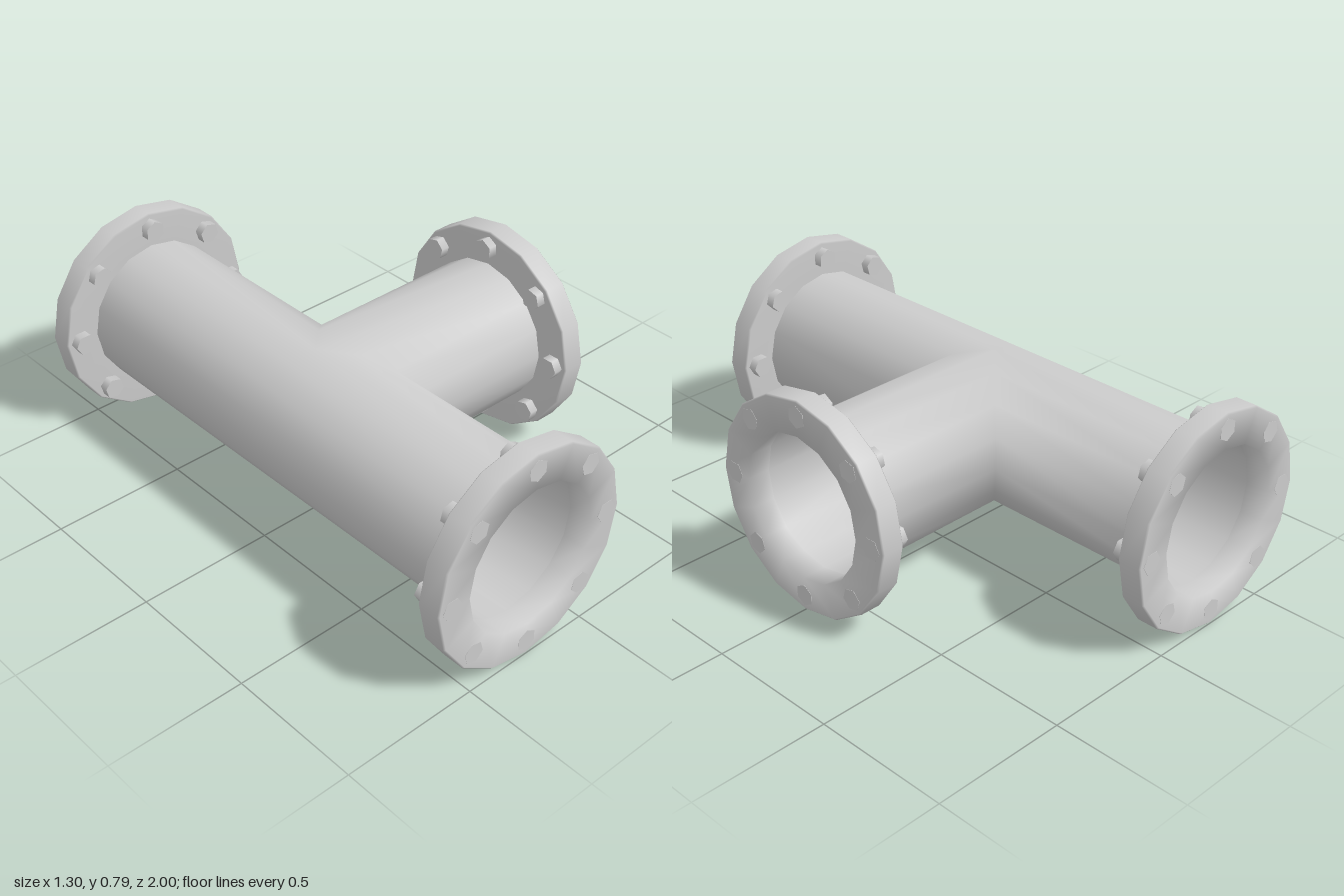
import * as THREE from 'three';
import { mergeVertices } from 'three/addons/utils/BufferGeometryUtils.js';

const SIDES = 16;
const BORE = 0.267, RIM = 0.395, THICK = 0.088;
const BOLT_RING = 0.337, BOLT_R = 0.04, BOLT_HEAD = 0.034;
const MAIN = 1, BRANCH = 0.9;

const material = new THREE.MeshStandardMaterial({ color: 0xcccccc });
const thin = new THREE.MeshStandardMaterial({ color: 0xcccccc, side: THREE.DoubleSide });

const X = new THREE.Vector3(1, 0, 0);
const Y = new THREE.Vector3(0, 1, 0);
const Z = new THREE.Vector3(0, 0, 1);

// Tee of three equal tubes, mitred where |z| equals x
function teeGeometry() {
  const positions = [];
  const arm = (u, v, length, start) => {
    const axis = u.clone().cross(v);
    const edge = (k) => {
      const a = ((k % SIDES) / SIDES) * Math.PI * 2;
      const p = u.clone().multiplyScalar(BORE * Math.cos(a)).addScaledVector(v, BORE * Math.sin(a));
      return [p.clone().addScaledVector(axis, start(p)), p.clone().addScaledVector(axis, length)];
    };
    for (let k = 0; k < SIDES; k++) {
      const [a, d] = edge(k);
      const [b, c] = edge(k + 1);
      for (const p of [a, b, c, a, c, d]) positions.push(p.x, p.y, p.z);
    }
  };
  const mainStart = (p) => Math.max(0, p.x);
  arm(X, Y, MAIN - THICK, mainStart);
  arm(Y, X, MAIN - THICK, mainStart);
  arm(Y, Z, BRANCH - THICK, (p) => Math.abs(p.z));

  let geometry = new THREE.BufferGeometry();
  geometry.setAttribute('position', new THREE.Float32BufferAttribute(positions, 3));
  geometry = mergeVertices(geometry, 1e-4);
  geometry.computeVertexNormals();
  return geometry;
}

// Ring flange with a lightly eased rim, its back face at y = 0
const ease = 0.006;
const flangeGeometry = new THREE.LatheGeometry([
  [BORE, 0], [RIM - ease, 0], [RIM, ease],
  [RIM, THICK - ease], [RIM - ease, THICK], [BORE, THICK], [BORE, 0],
].map(([x, y]) => new THREE.Vector2(x, y)), SIDES);

// Hexagonal bolt running through the flange, flush with its outer face
const boltLength = BOLT_HEAD + THICK + 0.001;
const boltGeometry = new THREE.CylinderGeometry(BOLT_R, BOLT_R, boltLength, 6);

function makeFlange(name, length) {
  const group = new THREE.Group();
  group.name = name;
  const ring = new THREE.Mesh(flangeGeometry, material);
  ring.name = 'flangeRing';
  ring.position.y = length - THICK;
  group.add(ring);
  for (let i = 0; i < 8; i++) {
    const a = (i / 8) * Math.PI * 2;
    const bolt = new THREE.Mesh(boltGeometry, material);
    bolt.name = 'bolt';
    bolt.position.set(
      BOLT_RING * Math.sin(a),
      length + 0.001 - boltLength / 2,
      BOLT_RING * Math.cos(a)
    );
    bolt.rotation.y = a;
    group.add(bolt);
  }
  return group;
}

export function createModel() {
  const model = new THREE.Group();
  model.name = 'pipeTee';

  const pipe = new THREE.Mesh(teeGeometry(), thin);
  pipe.name = 'pipe';

  const front = makeFlange('frontFlange', MAIN);
  front.rotation.x = Math.PI / 2;
  const back = makeFlange('backFlange', MAIN);
  back.rotation.x = -Math.PI / 2;
  const branch = makeFlange('branchFlange', BRANCH);
  branch.rotation.z = -Math.PI / 2;

  // Fittings share the pipe's crossing point
  const tee = new THREE.Group();
  tee.name = 'tee';
  tee.position.set((RIM - BRANCH) / 2, RIM, 0);
  tee.add(pipe, front, back, branch);
  model.add(tee);
  return model;
}
